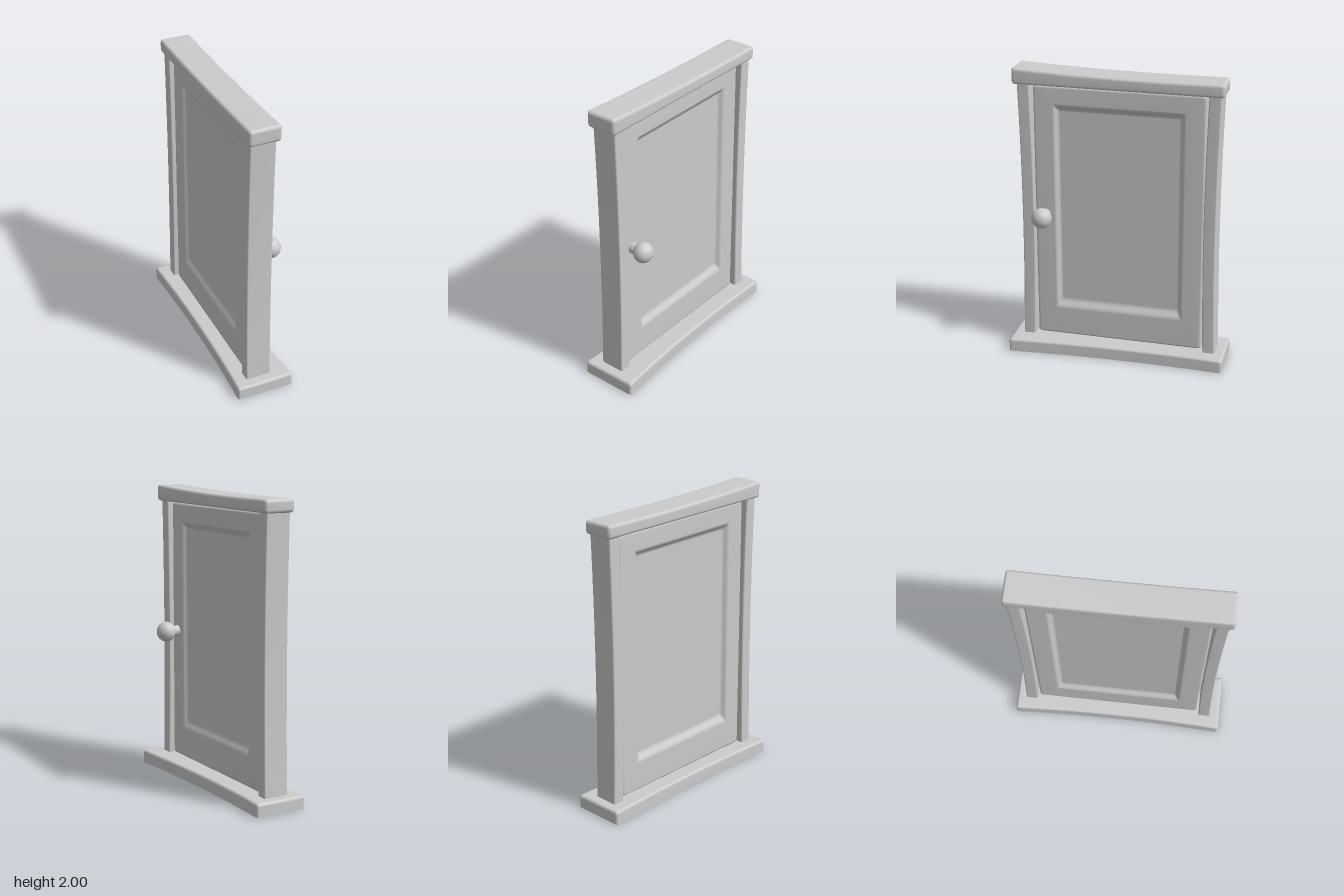
import * as THREE from 'three';

const material = new THREE.MeshStandardMaterial({ color: 0xcccccc, side: THREE.DoubleSide });

// Where (u, v) of a section and w along the loft land for each loft axis
const PLACE = {
  x: (u, v, w) => [w, u, v],
  y: (u, v, w) => [v, w, u],
  z: (u, v, w) => [u, v, w],
};
const CORNER_STEPS = 3;

// Rounded rectangle, counter-clockwise
function roundedRect(u0, u1, v0, v1, r) {
  const centres = [[u1 - r, v1 - r], [u0 + r, v1 - r], [u0 + r, v0 + r], [u1 - r, v0 + r]];
  return centres.flatMap(([cu, cv], q) =>
    Array.from({ length: CORNER_STEPS + 1 }, (_, i) => {
      const a = (q + i / CORNER_STEPS) * Math.PI / 2;
      return [cu + r * Math.cos(a), cv + r * Math.sin(a)];
    }));
}

// Skin over rings { w, rect: [u0, u1, v0, v1], r }; openBottom cuts it off at y = 0
function loft(name, axis, rings, openBottom = false) {
  const n = 4 * (CORNER_STEPS + 1);
  const positions = [];
  for (const { w, rect, r } of rings) {
    for (const [u, v] of roundedRect(...rect, r)) {
      const p = PLACE[axis](u, v, w);
      if (openBottom) p[1] = Math.max(0, p[1]);
      positions.push(...p);
    }
  }
  const index = [];
  const face = (...corners) => {
    if (openBottom && corners.every((i) => positions[3 * i + 1] === 0)) return;
    index.push(...corners);
  };
  for (let k = 0; k < rings.length - 1; k++) {
    for (let i = 0; i < n; i++) {
      const j = (i + 1) % n;
      const a = k * n + i, b = k * n + j;
      face(a, b, b + n);
      face(a, b + n, a + n);
    }
  }
  const last = (rings.length - 1) * n;
  for (let i = 1; i < n - 1; i++) {
    face(0, i + 1, i);
    face(last, last + i, last + i + 1);
  }
  const geometry = new THREE.BufferGeometry();
  geometry.setAttribute('position', new THREE.Float32BufferAttribute(positions, 3));
  geometry.setIndex(index);
  geometry.computeVertexNormals();
  const mesh = new THREE.Mesh(geometry, material);
  mesh.name = name;
  return mesh;
}

const inset = ([u0, u1, v0, v1], d) => [u0 + d, u1 - d, v0 + d, v1 - d];

// Beam with rounded edges whose section may change along its length
function beam(name, axis, w0, w1, r, section, openBottom) {
  const ring = (w, d) => ({ w, rect: inset(section(w), d), r: Math.max(r - d, 0.002) });
  const start = [], end = [], middle = [];
  for (let i = 0; i <= 3; i++) {
    const a = i / 3 * Math.PI / 2;
    const along = r * (1 - Math.cos(a)), d = r * (1 - Math.sin(a));
    start.push(ring(w0 + along, d));
    end.unshift(ring(w1 - along, d));
  }
  const steps = 14;
  for (let i = 1; i < steps; i++) middle.push(ring(w0 + r + (w1 - w0 - 2 * r) * i / steps, 0));
  return loft(name, axis, [...start, ...middle, ...end], openBottom);
}

// Door slab with a soft-edged sunken panel on both faces
function makeDoor() {
  const slab = [0.095, 1.885, -0.577, 0.577];
  const outer = [0.3, 1.76, -0.44, 0.44], inner = [0.36, 1.715, -0.405, 0.405];
  const centre = -0.025, half = 0.06, depth = 0.027, r = 0.018;
  const side = [];
  // Panel slope, from the sunken field out to the face
  for (const t of [-0.1, 0, 0.2, 0.4, 0.6, 0.8, 1, 1.1]) {
    const s = THREE.MathUtils.smoothstep(t, 0, 1);
    side.push({
      x: half - depth * (1 - s),
      rect: inner.map((v, i) => THREE.MathUtils.lerp(v, outer[i], t)),
      r: 0.012,
    });
  }
  // Rounded outer edge
  for (let i = 0; i <= 3; i++) {
    const a = i / 3 * Math.PI / 2;
    const d = r * (1 - Math.sin(a));
    side.push({ x: half - r * (1 - Math.cos(a)), rect: inset(slab, d), r: 0.022 - d });
  }
  const back = side.map((s) => ({ ...s, w: centre - s.x }));
  const front = side.map((s) => ({ ...s, w: centre + s.x })).reverse();
  return loft('door', 'x', [...back, ...front]);
}

function makeKnob() {
  const knob = new THREE.Group();
  knob.name = 'doorKnob';
  const stem = new THREE.Mesh(new THREE.CylinderGeometry(0.038, 0.038, 0.09, 16), material);
  stem.name = 'knobStem';
  stem.rotation.z = -Math.PI / 2;
  stem.position.x = -0.055;
  const ball = new THREE.Mesh(new THREE.SphereGeometry(0.07, 16, 12), material);
  ball.name = 'knobBall';
  ball.scale.x = 0.93;
  knob.add(stem, ball);
  knob.position.set(0.127, 0.99, 0.508);
  return knob;
}

export function createModel() {
  const model = new THREE.Group();
  model.name = 'doorInFrame';

  // Sill: bowed long sides, hollow underneath
  model.add(beam('sill', 'z', -0.743, 0.745, 0.018, (z) => [
    -0.178 - 0.022 * (z / 0.74) ** 2,
    0.15 + 0.048 * ((z + 0.25) / 0.99) ** 2,
    -0.04, 0.09,
  ], true));

  // Posts: slightly waisted towards the door
  for (const s of [1, -1]) {
    model.add(beam(s > 0 ? 'frontPost' : 'backPost', 'y', 0.07, 1.91, 0.01, (y) => {
      const bow = 0.015 * ((y - 1) / 0.9) ** 2;
      const near = 0.578 + bow, far = 0.661 + bow;
      return s > 0 ? [near, far, -0.11, 0.063] : [-far, -near, -0.11, 0.063];
    }));
  }

  // Lintel: sagging top edge
  model.add(beam('lintel', 'z', -0.695, 0.705, 0.02, (z) => [
    -0.13, 0.085, 1.89, 1.975 + 0.025 * ((z + 0.3) / 1.0) ** 2,
  ]));

  model.add(makeDoor(), makeKnob());
  return model;
}
